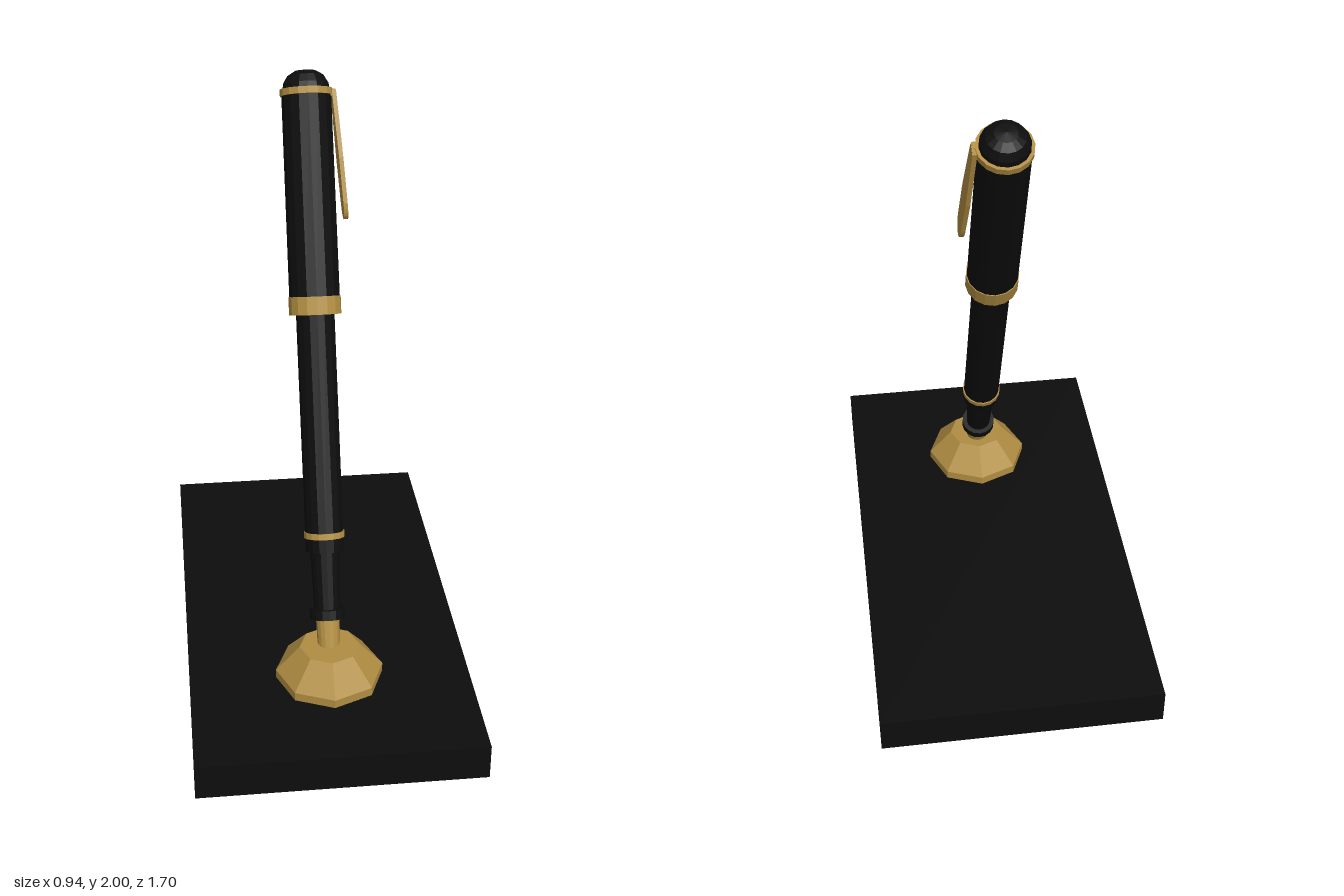
import * as THREE from 'three';

const black = new THREE.MeshStandardMaterial({ color: 0x0d0d0d, flatShading: true });
black.name = 'black lacquer';
const gold = new THREE.MeshStandardMaterial({ color: 0xb08d42, flatShading: true });
gold.name = 'gold';

function add(parent, name, geometry, material) {
  const mesh = new THREE.Mesh(geometry, material);
  mesh.name = name;
  parent.add(mesh);
  return mesh;
}

// Turned section running from y0 to y1, with radii r0 and r1
function section(parent, name, y0, y1, r0, r1, material, sides = 16) {
  const mesh = add(parent, name, new THREE.CylinderGeometry(r1, r0, y1 - y0, sides), material);
  mesh.position.y = (y0 + y1) / 2;
  return mesh;
}

function createModel() {
  const model = new THREE.Group();
  model.name = 'deskPenStand';

  // Slab
  add(model, 'baseSlab', new THREE.BoxGeometry(0.945, 0.125, 1.7), black).position.y = 0.0625;

  // Octagonal socket
  const socket = new THREE.Group();
  socket.name = 'socket';
  socket.position.z = 0.43;
  model.add(socket);
  section(socket, 'socketFoot', 0.125, 0.155, 0.181, 0.181, gold, 8);
  section(socket, 'socketBevel', 0.155, 0.245, 0.181, 0.1, gold, 8);

  // Pen, leaning backwards out of the socket
  const pen = new THREE.Group();
  pen.name = 'pen';
  pen.position.set(0, 0.2, 0.43);
  pen.rotation.x = -0.408;
  model.add(pen);
  section(pen, 'nibHolder', 0, 0.14, 0.037, 0.04, gold);
  section(pen, 'gripCollar', 0.132, 0.165, 0.06, 0.06, black);
  section(pen, 'grip', 0.165, 0.36, 0.044, 0.05, black);
  section(pen, 'barrelEnd', 0.36, 0.405, 0.063, 0.065, black);
  section(pen, 'barrelRing', 0.405, 0.425, 0.068, 0.068, gold);
  section(pen, 'barrel', 0.425, 1.16, 0.064, 0.064, black);
  section(pen, 'capBand', 1.15, 1.21, 0.087, 0.087, gold);
  section(pen, 'cap', 1.21, 1.865, 0.084, 0.082, black);
  section(pen, 'capRing', 1.865, 1.887, 0.087, 0.087, gold);

  // Domed finial
  const dome = [[0.077, 1.885], [0.075, 1.905], [0.06, 1.93], [0.035, 1.945], [0, 1.95]];
  add(pen, 'capDome', new THREE.LatheGeometry(dome.map(p => new THREE.Vector2(...p)), 16), black);

  // Clip: slim at the top, widening to a rounded lower end
  const outline = new THREE.Shape();
  outline.moveTo(-0.024, 0);
  outline.lineTo(-0.042, -0.22);
  outline.lineTo(-0.037, -0.37);
  outline.quadraticCurveTo(-0.03, -0.42, 0, -0.42);
  outline.quadraticCurveTo(0.03, -0.42, 0.037, -0.37);
  outline.lineTo(0.042, -0.22);
  outline.lineTo(0.024, 0);
  outline.closePath();
  const clipGeometry = new THREE.ExtrudeGeometry(outline, { depth: 0.014, bevelEnabled: false, curveSegments: 5 });
  clipGeometry.rotateY(Math.PI / 2);
  const clip = add(pen, 'clip', clipGeometry, gold);
  clip.position.set(0.082, 1.878, 0);
  clip.rotation.z = 0.06;
  // Bridge joining the clip to the cap ring
  add(pen, 'clipMount', new THREE.BoxGeometry(0.03, 0.022, 0.048), gold).position.set(0.08, 1.872, 0);

  return model;
}

export { createModel };
